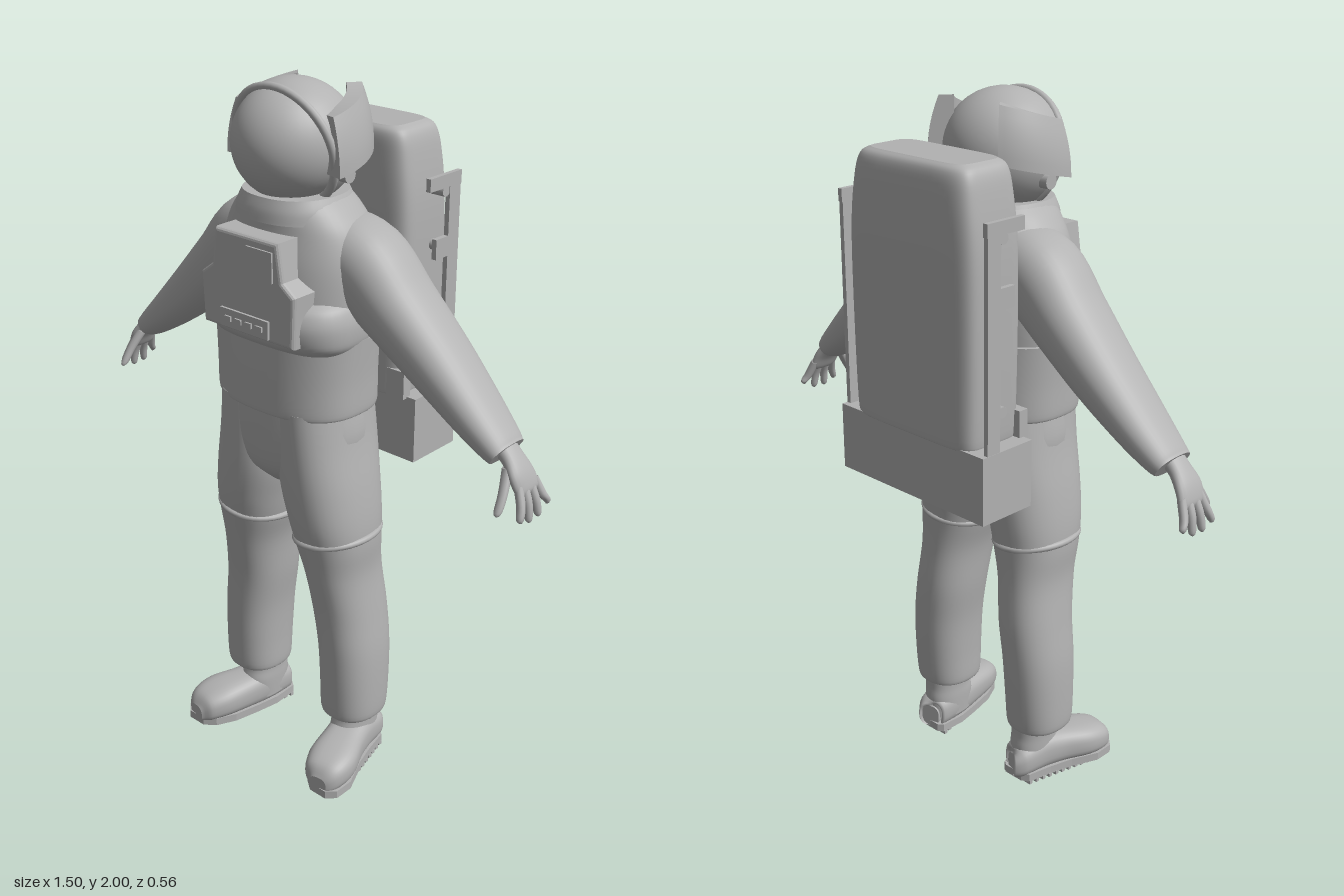
import * as THREE from 'three';
import { RoundedBoxGeometry } from 'three/addons/geometries/RoundedBoxGeometry.js';

const suit = new THREE.MeshStandardMaterial({ color: 0xb2b2b2 });
suit.name = 'suit grey';
suit.side = THREE.DoubleSide;

function add(parent, name, geometry, x = 0, y = 0, z = 0) {
  const mesh = new THREE.Mesh(geometry, suit);
  mesh.name = name;
  mesh.position.set(x, y, z);
  parent.add(mesh);
  return mesh;
}

const box = (parent, name, w, h, d, x, y, z) =>
  add(parent, name, new THREE.BoxGeometry(w, h, d), x, y, z);

// Smooth interpolation between rows of numbers
function sample(rows, t) {
  const k = Math.min(Math.floor(t), rows.length - 2), f = t - k;
  const at = i => rows[Math.max(0, Math.min(rows.length - 1, i))];
  const [p, q, r, s] = [at(k - 1), at(k), at(k + 1), at(k + 2)];
  return q.map((b, i) => b + 0.5 * f * (r[i] - p[i] + f * (2 * p[i] - 5 * b + 4 * r[i] - s[i]
    + f * (3 * (b - r[i]) + s[i] - p[i]))));
}

// Skin through superellipse rings; a row is [x, y, z, half width, half depth]
// v is the depth axis; the width axis is horizontal when flat, else square to the path
function loft(rows, { v = new THREE.Vector3(0, 0, 1), flat = true, n = 2.3, segs = 36, sub = 5 } = {}) {
  const pos = [], idx = [], count = (rows.length - 1) * sub;
  const centre = t => new THREE.Vector3(...sample(rows, t).slice(0, 3));
  const top = rows.length - 1;
  const ring = t => {
    const [x, y, z, a, b] = sample(rows, t);
    const tan = centre(Math.min(top, t + 0.05)).sub(centre(Math.max(0, t - 0.05)));
    const u = flat ? new THREE.Vector3(1, 0, 0) : tan.cross(v).normalize();
    for (let j = 0; j < segs; j++) {
      const q = j / segs * Math.PI * 2, c = Math.cos(q), s = Math.sin(q);
      const cu = a * Math.sign(c) * Math.abs(c) ** (2 / n), sv = b * Math.sign(s) * Math.abs(s) ** (2 / n);
      pos.push(x + u.x * cu + v.x * sv, y + u.y * cu + v.y * sv, z + u.z * cu + v.z * sv);
    }
  };
  for (let i = 0; i <= count; i++) ring(i / sub);
  for (let i = 0; i < count; i++) for (let j = 0; j < segs; j++) {
    const a = i * segs + j, b = i * segs + (j + 1) % segs;
    idx.push(a, a + segs, b, b, a + segs, b + segs);
  }
  for (const t of [0, top]) {
    const base = pos.length / 3;
    ring(t);
    pos.push(...rows[t].slice(0, 3));
    for (let j = 0; j < segs; j++) {
      const a = base + j, b = base + (j + 1) % segs;
      idx.push(base + segs, ...(t ? [b, a] : [a, b]));
    }
  }
  const g = new THREE.BufferGeometry();
  g.setAttribute('position', new THREE.Float32BufferAttribute(pos, 3));
  g.setIndex(idx);
  g.computeVertexNormals();
  return g;
}

function makeHead(g) {
  add(g, 'visor', new THREE.SphereGeometry(0.155, 40, 28), 0, 1.843, 0.1).scale.set(0.98, 0.99, 1.03);
  const hood = add(g, 'helmetHood', new THREE.SphereGeometry(0.161, 40, 24, 0, Math.PI * 2, 0, 1.78), 0, 1.839, 0.095);
  hood.rotation.x = -1.32;
  hood.scale.set(1.06, 1.02, 1);
  const rim = add(g, 'helmetRim', new THREE.TorusGeometry(0.157, 0.011, 10, 48), 0, 1.833, 0.127);
  rim.rotation.x = 0.25;
  rim.scale.x = 1.05;
  add(g, 'neckRing', loft([[0, 1.66, 0.085, 0.155, 0.145], [0, 1.69, 0.085, 0.15, 0.14], [0, 1.72, 0.085, 0.135, 0.13]]));
  for (const s of [1, -1]) {
    // Side shield wrapped round the helmet: a box bent by angle
    const plate = new THREE.BoxGeometry(1, 1, 1, 1, 6, 14), p = plate.attributes.position;
    for (let i = 0; i < p.count; i++) {
      const back = 0.5 - p.getZ(i), up = p.getY(i) + 0.5;
      const a = 0.24 - back * 1.12, r = p.getX(i) * s > 0 ? 0.2 - 0.03 * up * up : 0.13;
      p.setXYZ(i, s * r * Math.cos(a), 1.785 + 0.05 * back + 0.145 * up, 0.09 + r * Math.sin(a));
    }
    plate.computeVertexNormals();
    add(g, 'sideShield', plate);
    add(g, 'earKnob', new THREE.CylinderGeometry(0.02, 0.02, 0.04, 20), s * 0.158, 1.78, 0.08).rotation.z = Math.PI / 2;
  }
}

function makeTorso(g) {
  add(g, 'waist', loft([[0, 1.145, 0.085, 0.222, 0.163], [0, 1.16, 0.085, 0.228, 0.167],
    [0, 1.25, 0.085, 0.229, 0.167], [0, 1.36, 0.085, 0.235, 0.165]], { n: 2.5, segs: 48 }));
  add(g, 'chest', loft([[0, 1.34, 0.085, 0.225, 0.155], [0, 1.45, 0.08, 0.228, 0.16], [0, 1.55, 0.075, 0.225, 0.155],
    [0, 1.63, 0.07, 0.205, 0.145], [0, 1.68, 0.075, 0.17, 0.135], [0, 1.71, 0.08, 0.14, 0.125]], { segs: 48 }));
  add(g, 'chestHarness', loft([[0, 1.335, 0.11, 0.222, 0.135], [0, 1.36, 0.11, 0.235, 0.155],
    [0, 1.41, 0.11, 0.237, 0.163], [0, 1.45, 0.11, 0.225, 0.15], [0, 1.47, 0.11, 0.205, 0.125]], { n: 2.7, segs: 48 }));
  // Control unit with a narrow top and wide base
  const outline = [[-0.15, 1.375], [0.15, 1.375], [0.155, 1.5], [0.115, 1.53], [0.1, 1.625], [-0.1, 1.625], [-0.115, 1.53], [-0.155, 1.5]];
  const shape = new THREE.Shape(outline.map(p => new THREE.Vector2(...p)));
  add(g, 'controlUnit', new THREE.ExtrudeGeometry(shape, { depth: 0.1, bevelSize: 0.01, bevelThickness: 0.012, bevelSegments: 3 }), 0, 0, 0.162);
  box(g, 'controlPanel', 0.09, 0.08, 0.008, 0.05, 1.57, 0.275);
  box(g, 'gauge', 0.17, 0.05, 0.008, -0.005, 1.4, 0.277);
  for (let i = 0; i < 4; i++) box(g, 'switch', 0.022, 0.014, 0.008, -0.06 + i * 0.037, 1.4, 0.282);
  add(g, 'hips', loft([[0, 0.91, 0.085, 0.05, 0.09], [0, 0.96, 0.085, 0.15, 0.135],
    [0, 1.04, 0.083, 0.212, 0.154], [0, 1.16, 0.085, 0.2, 0.16]]));
}

function makeArm(g, s) {
  const arm = new THREE.Group();
  arm.name = s > 0 ? 'leftArm' : 'rightArm';
  g.add(arm);
  const limb = (name, rows, opt) => add(arm, name, loft(rows.map(([x, ...r]) => [x * s, ...r]), { flat: false, ...opt }));
  limb('sleeve', [[0.08, 1.575, 0.04, 0.1, 0.105], [0.19, 1.545, 0.035, 0.113, 0.112], [0.3, 1.45, 0.028, 0.095, 0.108],
    [0.43, 1.337, 0.02, 0.077, 0.097], [0.55, 1.235, 0.02, 0.058, 0.083], [0.625, 1.175, 0.022, 0.044, 0.07], [0.65, 1.158, 0.024, 0.036, 0.063]]);
  limb('palm', [[0.635, 1.18, 0.027, 0.026, 0.035], [0.67, 1.15, 0.027, 0.021, 0.036], [0.698, 1.115, 0.027, 0.019, 0.046],
    [0.715, 1.08, 0.022, 0.015, 0.046], [0.72, 1.068, 0.022, 0.007, 0.036]], { segs: 20 });
  const fingers = [[0.054, 0.078, 1.01], [0.033, 0.04, 0.998], [0.009, 0.001, 1.0], [-0.013, -0.038, 1.02]];
  const finger = { segs: 12, sub: 4, n: 2 };
  for (const [z0, z1, y] of fingers) limb('finger', [[0.71, 1.095, z0, 0.012, 0.012],
    [0.73, 1.05, (z0 + z1) / 2, 0.012, 0.012], [0.738, y + 0.01, z1, 0.01, 0.01], [0.738, y, z1, 0.003, 0.003]], finger);
  limb('thumb', [[0.675, 1.135, 0.052, 0.015, 0.015], [0.69, 1.08, 0.088, 0.013, 0.013],
    [0.695, 1.04, 0.113, 0.011, 0.011], [0.695, 1.03, 0.119, 0.003, 0.003]], finger);
}

function makeLeg(g, s) {
  const leg = new THREE.Group();
  leg.name = s > 0 ? 'leftLeg' : 'rightLeg';
  g.add(leg);
  const side = rows => rows.map(([x, ...r]) => [x * s, ...r]);
  add(leg, 'trouserLeg', loft(side([[0.19, 0.172, 0.055, 0.076, 0.085], [0.192, 0.185, 0.057, 0.088, 0.096],
    [0.192, 0.28, 0.055, 0.09, 0.103], [0.187, 0.4, 0.053, 0.091, 0.108], [0.172, 0.52, 0.055, 0.092, 0.112],
    [0.158, 0.65, 0.07, 0.092, 0.118], [0.147, 0.75, 0.08, 0.108, 0.127], [0.137, 0.83, 0.084, 0.115, 0.138],
    [0.12, 0.93, 0.084, 0.118, 0.147], [0.107, 1.05, 0.082, 0.108, 0.154], [0.1, 1.16, 0.085, 0.1, 0.155]])));
  const band = add(leg, 'kneeBand', new THREE.TorusGeometry(0.11, 0.01, 10, 40), s * 0.146, 0.765, 0.082);
  band.geometry.rotateX(Math.PI / 2).scale(1, 1, 1.14);
  band.rotation.z = s * 0.13;
  add(leg, 'bootShaft', loft(side([[0.185, 0.05, 0.045, 0.055, 0.078], [0.185, 0.11, 0.045, 0.056, 0.08],
    [0.186, 0.15, 0.042, 0.056, 0.073], [0.187, 0.2, 0.042, 0.06, 0.074]])));
  // Boot and sole share one outline, toes turned out
  const foot = [[0.18, -0.04, 0.03, 0.035], [0.183, -0.027, 0.05, 0.048], [0.19, 0.05, 0.06, 0.058], [0.207, 0.12, 0.064, 0.055],
    [0.234, 0.2, 0.072, 0.051], [0.248, 0.258, 0.057, 0.042], [0.252, 0.283, 0.028, 0.026]];
  add(leg, 'boot', loft(side(foot.map(([x, z, a, b]) => [x, 0.018 + b, z, a, b])),
    { v: new THREE.Vector3(0, 1, 0), flat: false, n: 2.7 }));
  const edge = k => foot.map(([x, z, a]) => new THREE.Vector2(s * x + k * (a + 0.001), z));
  const sole = new THREE.Shape([...edge(1), ...edge(-1).reverse()]);
  add(leg, 'sole', new THREE.ExtrudeGeometry(sole, { depth: 0.025, bevelEnabled: false }).rotateX(Math.PI / 2), 0, 0.035, 0);
  for (let i = 0; i < 13; i++) {
    const z = -0.02 + i * 0.0225, t = (z + 0.04) / 0.323;
    box(leg, 'tread', i > 10 ? 0.085 : 0.105, 0.012, 0.012, s * (0.178 + 0.08 * t), 0.006, z);
  }
}

function makeBackpack(g) {
  const pack = new THREE.Group();
  pack.name = 'backpack';
  g.add(pack);
  add(pack, 'lifeSupportPack', loft([[0, 1.14, -0.168, 0.22, 0.1], [0, 1.17, -0.17, 0.228, 0.104], [0, 1.4, -0.17, 0.233, 0.105],
    [0, 1.65, -0.17, 0.231, 0.105], [0, 1.79, -0.17, 0.216, 0.1], [0, 1.85, -0.168, 0.2, 0.092], [0, 1.868, -0.166, 0.175, 0.075]], { n: 6, segs: 64 }));
  box(pack, 'packBase', 0.55, 0.19, 0.18, 0, 1.05, -0.175);
  for (const s of [1, -1]) {
    box(pack, 'rail', 0.014, 0.6, 0.045, s * 0.267, 1.445, -0.225);
    box(pack, 'railTop', 0.014, 0.035, 0.13, s * 0.267, 1.728, -0.185);
    box(pack, 'railClip', 0.014, 0.055, 0.05, s * 0.267, 1.55, -0.178);
    box(pack, 'lowerMount', 0.06, 0.08, 0.03, s * 0.215, 1.18, -0.085);
    for (const y of [1.25, 1.55, 1.7])
      add(pack, 'railBolt', new THREE.CylinderGeometry(0.015, 0.015, 0.06, 14), s * 0.242, y, -0.19).rotation.z = Math.PI / 2;
  }
  add(pack, 'packMount', new RoundedBoxGeometry(0.3, 0.4, 0.06, 3, 0.02), 0, 1.4, -0.075);
}

export function createModel() {
  const g = new THREE.Group();
  g.name = 'spaceSuit';
  makeHead(g);
  makeTorso(g);
  for (const s of [1, -1]) {
    makeArm(g, s);
    makeLeg(g, s);
  }
  makeBackpack(g);
  return g;
}
